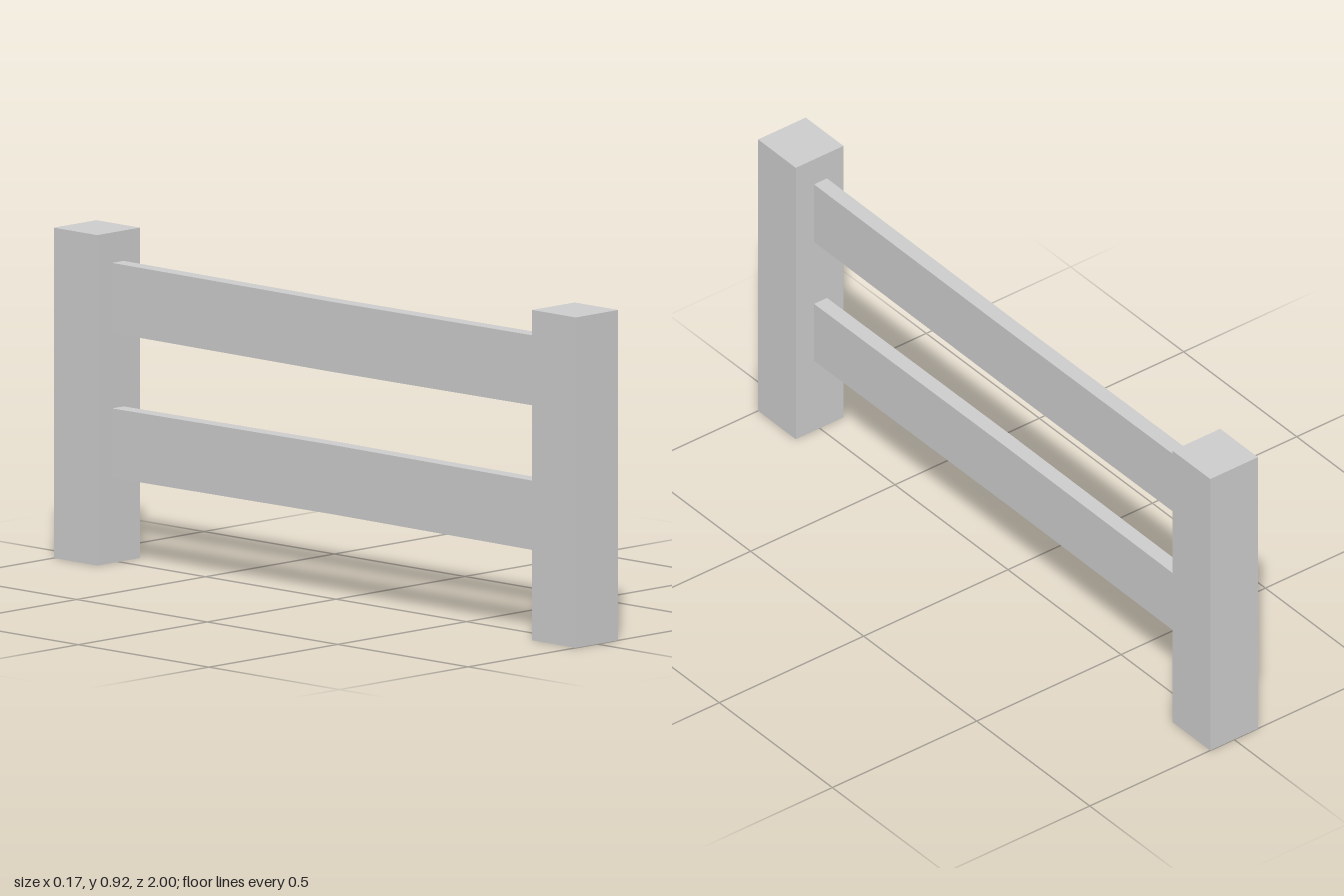
import * as THREE from 'three';

const material = new THREE.MeshStandardMaterial({ color: 0xcccccc, flatShading: true });

function addBox(group, name, size, position, segments = 1) {
  const mesh = new THREE.Mesh(new THREE.BoxGeometry(...size, 1, 1, segments), material);
  mesh.name = name;
  mesh.position.set(...position);
  group.add(mesh);
  return mesh;
}

// Shift the middle of a rail slightly so the timber looks hand cut
function bow(mesh, amount) {
  const p = mesh.geometry.attributes.position;
  for (let i = 0; i < p.count; i++) {
    if (Math.abs(p.getZ(i)) < 0.01) p.setY(i, p.getY(i) + amount);
  }
  mesh.geometry.computeVertexNormals();
}

export function createModel() {
  const fence = new THREE.Group();
  fence.name = 'fence';

  // Square end posts
  for (const [name, side] of [['frontPost', 1], ['backPost', -1]]) {
    addBox(fence, name, [0.165, 0.915, 0.167], [0, 0.4575, side * 0.9165]);
  }

  // Two flat rails between the posts
  bow(addBox(fence, 'lowerRail', [0.045, 0.192, 1.668], [-0.003, 0.332, 0], 2), 0.004);
  bow(addBox(fence, 'upperRail', [0.045, 0.194, 1.668], [-0.003, 0.734, 0], 2), -0.003);

  return fence;
}
